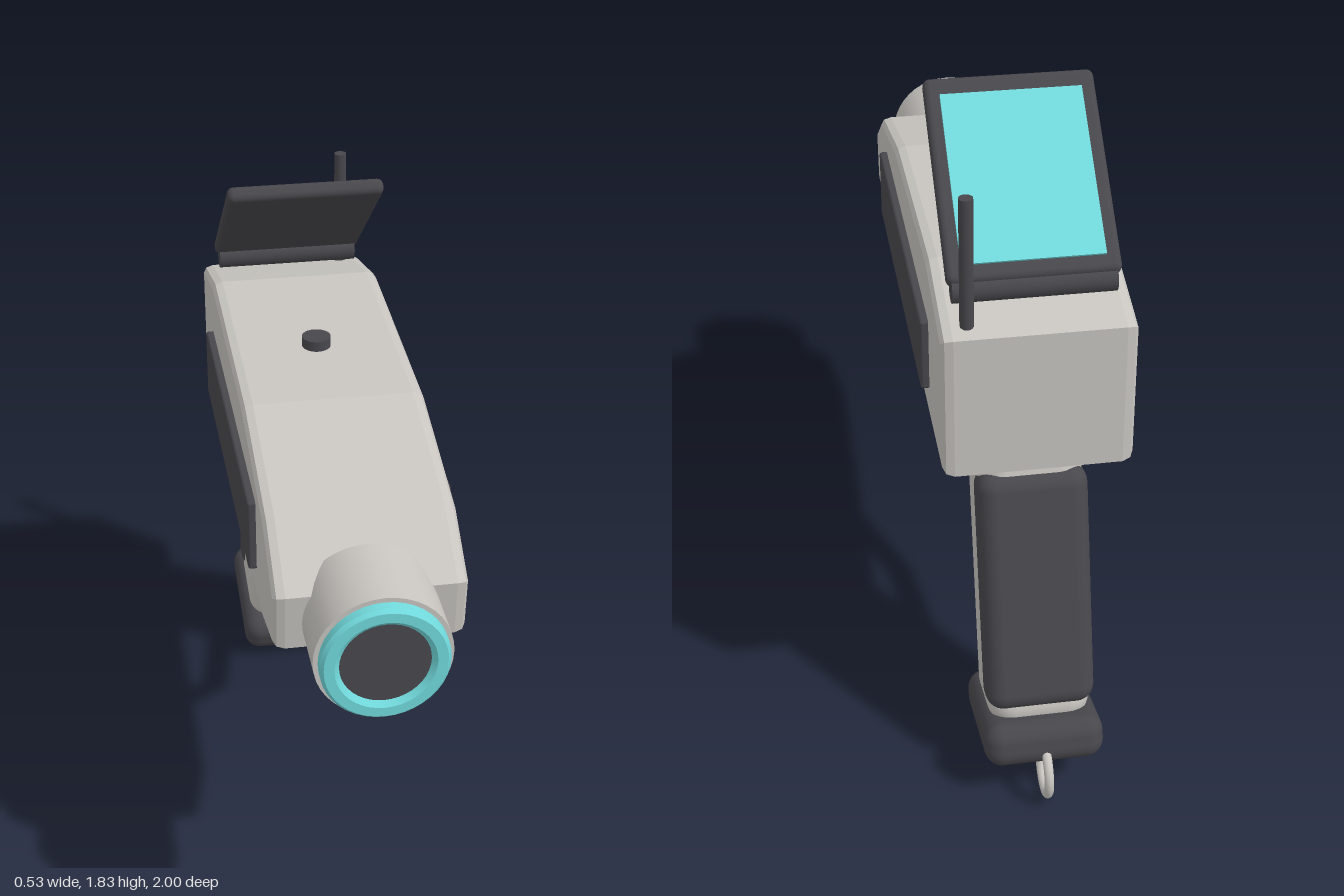
import * as THREE from 'three';
import { RoundedBoxGeometry } from 'three/addons/geometries/RoundedBoxGeometry.js';
import { toCreasedNormals } from 'three/addons/utils/BufferGeometryUtils.js';

const material = (name, color) => {
  const m = new THREE.MeshStandardMaterial({ color });
  m.name = name;
  return m;
};

// Sweep an eight-sided section along [z, y] points, with mitred corners.
function mitredBar(path, halfWidth, halfDepth, sides = 8) {
  const pts = path.map(([z, y]) => new THREE.Vector2(z, y));
  const positions = [], index = [];
  pts.forEach((p, i) => {
    const before = p.clone().sub(pts[Math.max(i - 1, 0)]).normalize();
    const after = pts[Math.min(i + 1, pts.length - 1)].clone().sub(p).normalize();
    const along = before.clone().add(after).normalize();
    const stretch = halfDepth / along.dot(i ? before : after);
    for (let k = 0; k < sides; k++) {
      const a = ((k + 0.5) / sides) * Math.PI * 2;
      const d = Math.cos(a) * stretch;
      positions.push(Math.sin(a) * halfWidth, p.y + along.x * d, p.x - along.y * d);
      if (i) {
        const n = (k + 1) % sides, r0 = (i - 1) * sides, r1 = i * sides;
        index.push(r0 + k, r0 + n, r1 + k, r0 + n, r1 + n, r1 + k);
      }
    }
  });
  let g = new THREE.BufferGeometry();
  g.setAttribute('position', new THREE.Float32BufferAttribute(positions, 3));
  g.setIndex(index);
  g = g.toNonIndexed();
  g.computeVertexNormals();
  return g;
}

export function createModel() {
  const model = new THREE.Group();
  model.name = 'handheldScanner';
  const shell = material('shell grey', 0xc8c5c0);
  const dark = material('dark rubber', 0x48474c);
  const teal = material('teal glow', 0x72dadd);
  const guardMetal = shell.clone();
  guardMetal.name = 'guard grey';
  guardMetal.side = THREE.DoubleSide;

  const add = (name, geometry, mat, x = 0, y = 0, z = 0, parent = model) => {
    const mesh = new THREE.Mesh(geometry, mat);
    mesh.name = name;
    mesh.position.set(x, y, z);
    parent.add(mesh);
    return mesh;
  };
  const rounded = (w, h, d, r) => new RoundedBoxGeometry(w, h, d, 4, r);
  const cylinder = (r, h, sides = 40) => new THREE.CylinderGeometry(r, r, h, sides);

  // Body: side profile in [z, y], extruded across the width
  const profile = [[-0.765, 0.975], [0.56, 0.975], [0.79, 1.04], [0.805, 1.2],
    [0.63, 1.32], [0.22, 1.42], [-0.48, 1.45], [-0.765, 1.375]];
  const bodyShape = new THREE.Shape(profile.map(([z, y]) => new THREE.Vector2(z, y)));
  const bodyGeometry = new THREE.ExtrudeGeometry(bodyShape, {
    depth: 0.43, bevelThickness: 0.03, bevelSize: 0.02, bevelOffset: -0.02, bevelSegments: 2,
  });
  bodyGeometry.translate(0, 0, -0.215).rotateY(-Math.PI / 2);
  add('body', bodyGeometry, shell);

  // Side panels
  for (const side of [1, -1]) {
    add(side > 0 ? 'leftPanel' : 'rightPanel', rounded(0.04, 0.205, 0.99, 0.008), dark,
      side * 0.247, 1.177, -0.013);
  }

  // Barrel, glowing ring and lens
  const barrelY = 1.117;
  add('barrel', cylinder(0.173, 0.235).rotateX(Math.PI / 2), shell, 0, barrelY, 0.8475);
  const ringProfile = [[0.113, 0.955], [0.161, 0.955], [0.161, 0.99], [0.152, 1],
    [0.126, 1], [0.113, 0.988], [0.113, 0.955]].map(([r, z]) => new THREE.Vector2(r, z));
  const ring = toCreasedNormals(new THREE.LatheGeometry(ringProfile, 40), 0.5);
  add('barrelRing', ring.rotateX(Math.PI / 2), teal, 0, barrelY, 0);
  add('lens', cylinder(0.114, 0.04).rotateX(Math.PI / 2), dark, 0, barrelY, 0.966);

  // Top button and antenna
  add('button', cylinder(0.04, 0.05, 24), dark, 0, 1.435, -0.07);
  add('antenna', cylinder(0.018, 0.375, 16), dark, 0.175, 1.547, -0.715);

  // Tilted display on its hinge
  add('hinge', cylinder(0.035, 0.41, 20).rotateZ(Math.PI / 2), dark, 0, 1.455, -0.653);
  const display = new THREE.Group();
  display.name = 'display';
  display.position.set(0, 1.648, -0.455);
  display.rotation.x = -0.685;
  model.add(display);
  add('displayFrame', rounded(0.435, 0.045, 0.55, 0.018), dark, 0, 0, 0, display);
  add('displayScreen', new THREE.BoxGeometry(0.36, 0.009, 0.455), teal, 0, 0.026, -0.006, display);

  // Raked grip with back pad and base cap
  const tilt = THREE.MathUtils.degToRad(15.7);
  const grip = new THREE.Group();
  grip.name = 'grip';
  grip.position.set(0, 0.55, -0.628);
  grip.rotation.x = tilt;
  model.add(grip);
  add('gripCore', rounded(0.28, 0.89, 0.285, 0.07), shell, 0, 0.025, 0, grip);
  add('gripPad', rounded(0.296, 0.68, 0.132, 0.05), dark, 0, -0.012, -0.097, grip);
  add('gripCap', rounded(0.325, 0.125, 0.4, 0.05), dark, 0, -0.438, 0, grip);

  // Lanyard loop
  add('lanyardLoop', new THREE.TorusGeometry(0.072, 0.013, 10, 32).rotateY(Math.PI / 2), shell,
    0, 0.085, -0.915);

  // Trigger and guard
  add('trigger', rounded(0.09, 0.26, 0.085, 0.02), dark, 0, 0.855, -0.345).rotation.x = tilt;
  const guardPath = [[-0.34, 0.962], [-0.015, 0.948], [0.006, 0.652], [-0.18, 0.462],
    [-0.43, 0.4], [-0.56, 0.382]];
  add('triggerGuard', mitredBar(guardPath, 0.035, 0.027), guardMetal);

  return model;
}
